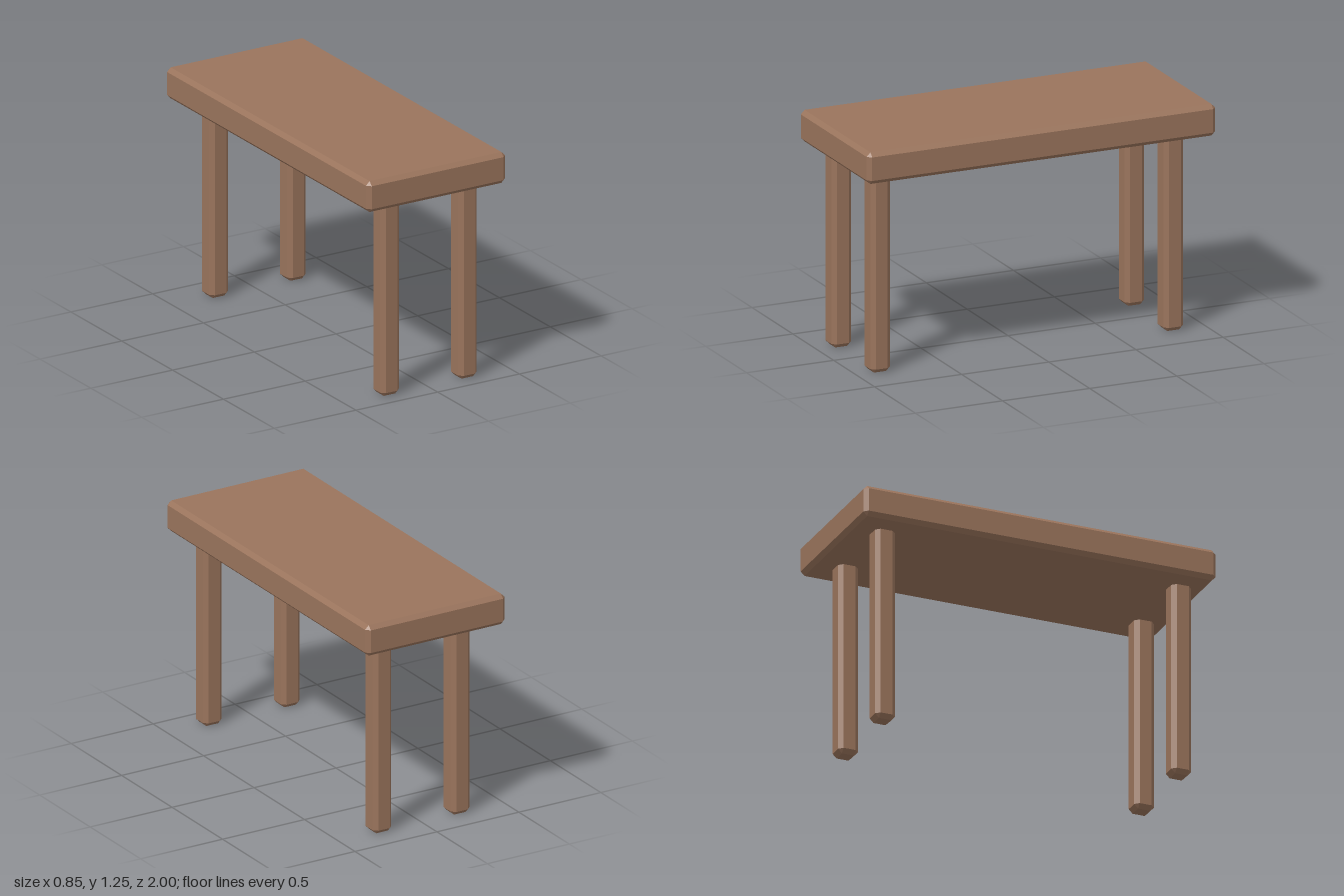
import * as THREE from 'three';
import { ConvexGeometry } from 'three/addons/geometries/ConvexGeometry.js';

const wood = new THREE.MeshStandardMaterial({ color: 0x9a745c, flatShading: true });

// Box with every edge and corner cut by a flat chamfer
function chamferedBox(w, h, d, c) {
  const points = [];
  for (const sx of [-1, 1]) for (const sy of [-1, 1]) for (const sz of [-1, 1]) {
    const x = w / 2, y = h / 2, z = d / 2;
    points.push(
      new THREE.Vector3(sx * x, sy * (y - c), sz * (z - c)),
      new THREE.Vector3(sx * (x - c), sy * y, sz * (z - c)),
      new THREE.Vector3(sx * (x - c), sy * (y - c), sz * z),
    );
  }
  return new ConvexGeometry(points);
}

function addPart(group, name, geometry, x, y, z) {
  const mesh = new THREE.Mesh(geometry, wood);
  mesh.name = name;
  mesh.position.set(x, y, z);
  group.add(mesh);
}

export function createModel() {
  const table = new THREE.Group();
  table.name = 'table';

  // Thick slab top
  const bottom = 1.075, top = 1.247, chamfer = 0.022;
  addPart(table, 'tableTop', chamferedBox(0.85, top - bottom, 2, chamfer), 0, (bottom + top) / 2, 0);

  // Four square legs, set slightly into the slab
  const legHeight = 1.12;
  const leg = chamferedBox(0.114, legHeight, 0.112, chamfer);
  for (const [end, z] of [['front', 0.865], ['back', -0.817]]) {
    for (const [side, x] of [['Left', 0.244], ['Right', -0.232]]) {
      addPart(table, `${end}${side}Leg`, leg, x, legHeight / 2, z);
    }
  }
  return table;
}
